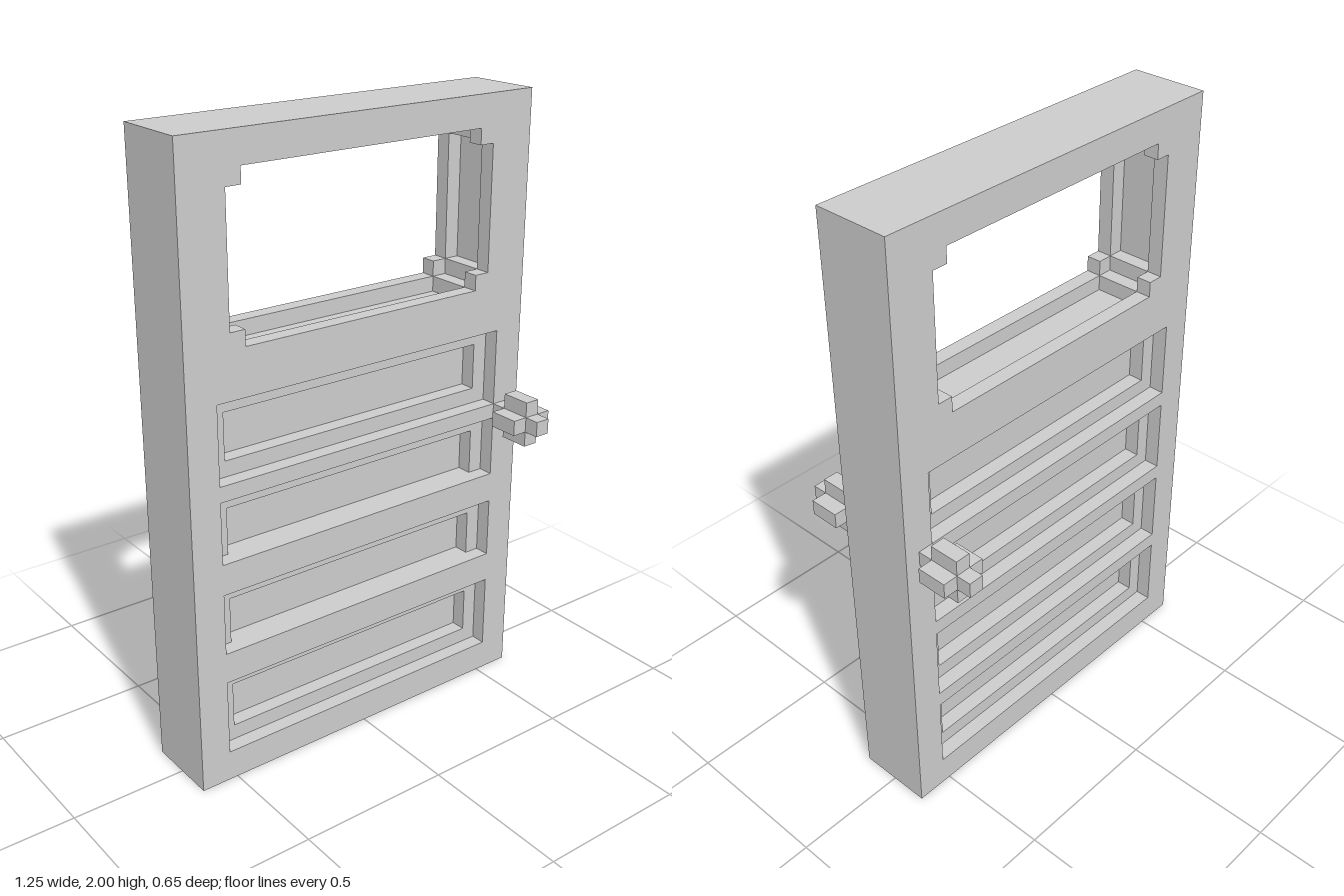
import * as THREE from 'three';

const material = new THREE.MeshStandardMaterial({ color: 0xcccccc });
const T = 0.05; // thickness of one door layer and size of every step

// Rectangular outline given by its edges
function rectPoints(x0, x1, y0, y1) {
  return [[x0, y0], [x1, y0], [x1, y1], [x0, y1]];
}

// Mirror one corner's points (given from the side edge towards the lower edge) to all four corners
function mirroredCorners(corner, centerY) {
  const flipped = [...corner].reverse();
  return [
    ...corner.map(([x, y]) => [-x, centerY - y]),
    ...flipped.map(([x, y]) => [x, centerY - y]),
    ...corner.map(([x, y]) => [x, centerY + y]),
    ...flipped.map(([x, y]) => [-x, centerY + y]),
  ];
}

const toVectors = (points) => points.map(([x, y]) => new THREE.Vector2(x, y));

// One slab of the door with openings cut through it
function doorLayer(name, z, openings) {
  const shape = new THREE.Shape(toVectors(rectPoints(-0.625, 0.625, 0, 2)));
  for (const points of openings) shape.holes.push(new THREE.Path(toVectors(points)));
  const geometry = new THREE.ExtrudeGeometry(shape, { depth: T, bevelEnabled: false });
  const mesh = new THREE.Mesh(geometry, material);
  mesh.name = name;
  mesh.position.z = z - T / 2;
  return mesh;
}

// Knob made of a shaft crossed by a wide and a tall block
function doorKnob(name, side) {
  const knob = new THREE.Group();
  knob.name = name;
  const parts = [
    ['knobShaft', 0.05, 0.05, 0.2],
    ['knobWideBlock', 0.15, 0.05, 0.1],
    ['knobTallBlock', 0.05, 0.15, 0.1],
  ];
  for (const [partName, w, h, d] of parts) {
    const mesh = new THREE.Mesh(new THREE.BoxGeometry(w, h, d), material);
    mesh.name = partName;
    knob.add(mesh);
  }
  knob.position.set(0.55, 0.975, side * 0.225);
  return knob;
}

export function createModel() {
  const door = new THREE.Group();
  door.name = 'door';

  // Window: notched corners on the faces, a groove between them
  const windowY = 1.65;
  const faceWindow = mirroredCorners([[0.475, 0.2], [0.425, 0.2], [0.425, 0.25]], windowY);
  const grooveWindow = mirroredCorners(
    [[0.525, 0.2], [0.475, 0.2], [0.475, 0.25], [0.425, 0.25], [0.425, 0.3]], windowY);

  // Sunken panels: outer recess on the face, smaller recess below it
  const panelTops = [1.25, 0.95, 0.65, 0.35];
  const inner = panelTops.map((top) => rectPoints(-0.475, 0.475, top - 0.2, top - T));
  const outerBack = panelTops.map((top) => rectPoints(-0.525, 0.525, top - 0.25, top));
  // The two middle front panels have no lower step
  const outerFront = panelTops.map((top, i) =>
    rectPoints(-0.525, 0.525, top - (i === 1 || i === 2 ? 0.2 : 0.25), top));

  door.add(
    doorLayer('frontFrame', 2 * T, [faceWindow, ...outerFront]),
    doorLayer('frontPanelStep', T, [grooveWindow, ...inner]),
    doorLayer('doorCore', 0, [grooveWindow]),
    doorLayer('backPanelStep', -T, [grooveWindow, ...inner]),
    doorLayer('backFrame', -2 * T, [faceWindow, ...outerBack]),
    doorKnob('frontKnob', 1),
    doorKnob('backKnob', -1),
  );
  return door;
}
